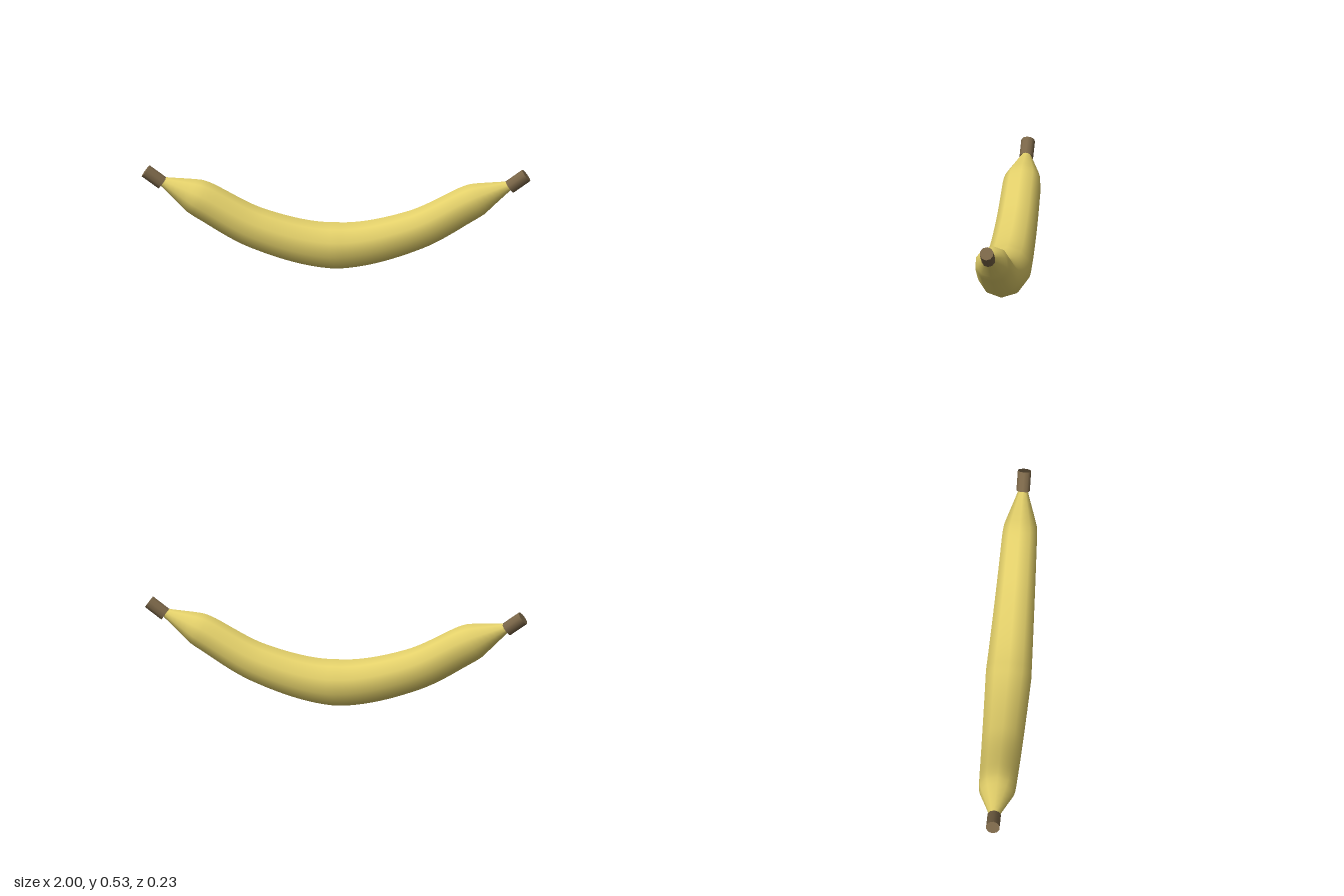
import * as THREE from 'three';
import { mergeVertices } from 'three/addons/utils/BufferGeometryUtils.js';

const SIDES = 10;
const RINGS = 64;

// Centre line of the fruit, running from -x to +x
const spine = new THREE.CatmullRomCurve3(
  [[-0.89, 0.452], [-0.7, 0.366], [-0.4, 0.21], [0, 0.125], [0.4, 0.21], [0.7, 0.366], [0.89, 0.452]]
    .map(([x, y]) => new THREE.Vector3(x, y, 0)), false, 'centripetal');

// Thickness by position: gentle swell in the middle, sharp taper past the shoulders
const profile = [[-0.9, 0.022], [-0.86, 0.038], [-0.73, 0.093], [-0.69, 0.1], [0, 0.123],
  [0.69, 0.093], [0.73, 0.087], [0.86, 0.036], [0.9, 0.022]];
function radiusAt(x) {
  for (let i = 1; i < profile.length; i++) {
    const [x0, r0] = profile[i - 1], [x1, r1] = profile[i];
    if (x <= x1) return THREE.MathUtils.lerp(r0, r1, Math.max(0, (x - x0) / (x1 - x0)));
  }
  return profile[profile.length - 1][1];
}

// Ten-sided tube bent along the spine, with an edge along its lowest line
function bodyGeometry() {
  let geo = new THREE.CylinderGeometry(1, 1, 1, SIDES, RINGS, true);
  geo.deleteAttribute('uv');
  geo.deleteAttribute('normal');
  geo = mergeVertices(geo);
  const pos = geo.attributes.position;
  for (let i = 0; i < pos.count; i++) {
    const t = THREE.MathUtils.clamp(pos.getY(i) + 0.5, 0, 1);
    const p = spine.getPointAt(t), tan = spine.getTangentAt(t);
    const r = radiusAt(p.x), down = pos.getZ(i) * r;
    pos.setXYZ(i, p.x + tan.y * down, p.y - tan.x * down, -pos.getX(i) * r);
  }
  geo.computeVertexNormals();
  return geo;
}

export function createModel() {
  const peel = new THREE.MeshStandardMaterial({ color: 0xe3d06a });
  peel.name = 'yellowPeel';
  const bark = new THREE.MeshStandardMaterial({ color: 0x7a6648 });
  bark.name = 'brownStem';

  const model = new THREE.Group();
  model.name = 'banana';

  const body = new THREE.Mesh(bodyGeometry(), peel);
  body.name = 'body';
  model.add(body);

  // Short capped stubs at both tips
  const stubGeo = new THREE.CylinderGeometry(0.036, 0.036, 0.106, SIDES);
  for (const side of [-1, 1]) {
    const stub = new THREE.Mesh(stubGeo, bark);
    stub.name = side < 0 ? 'stem' : 'blossomEnd';
    stub.position.set(side * 0.936, 0.476, 0);
    // lean the stub outward; the half turn keeps a cylinder edge uppermost
    stub.rotation.z = -side * THREE.MathUtils.degToRad(54);
    stub.rotation.y = 0;
    stub.rotateY(Math.PI / 2);
    model.add(stub);
  }
  return model;
}
